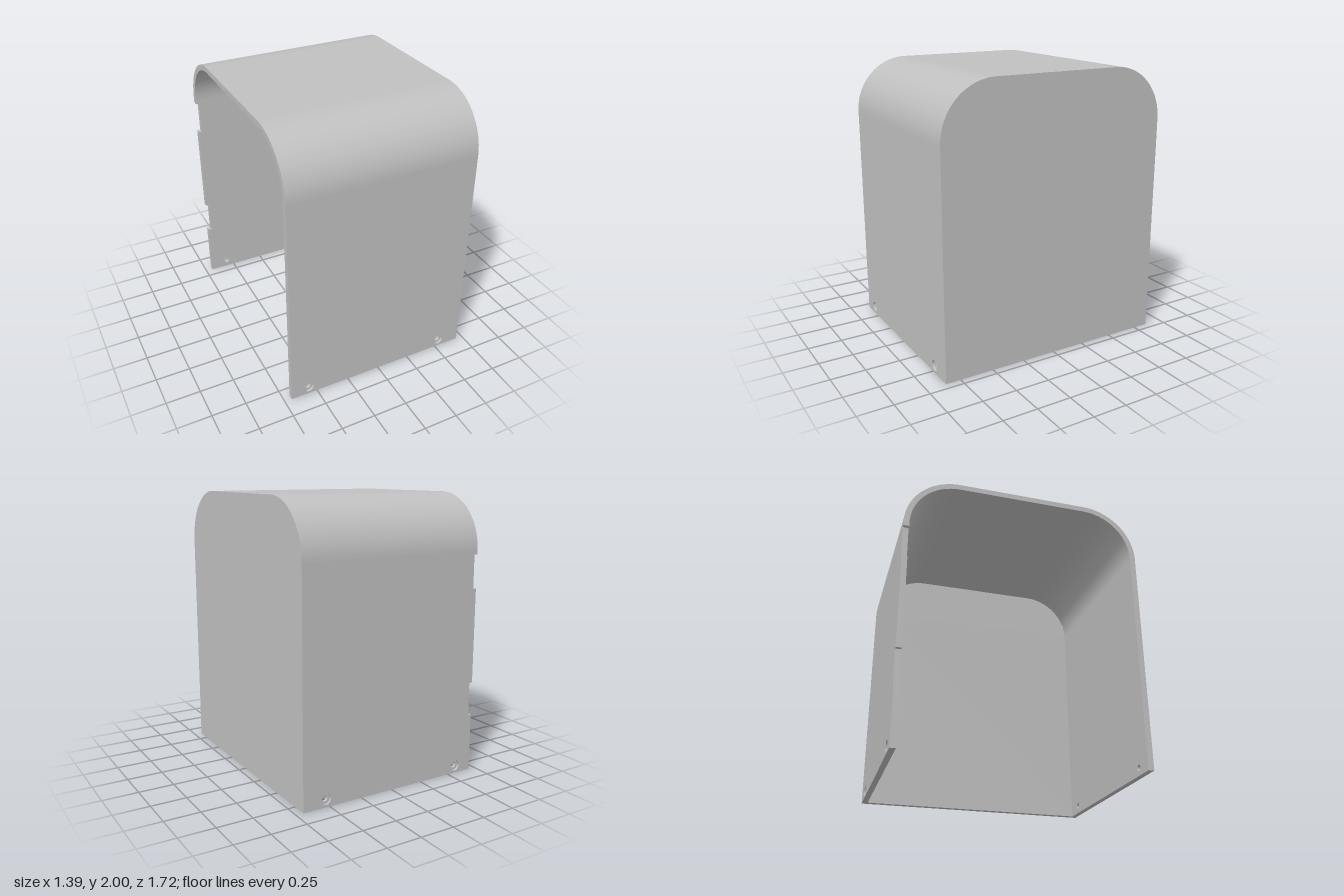
import * as THREE from 'three';

const W = 0.697, D = 0.86, H = 2, T = 0.04, R = 0.39; // half width, half depth, height, thickness, corner radius
const SPRING = H - R;                                 // height where the walls start to curve
const HOLE_X = [-0.563, 0.527], HOLE_Y = 0.055, HOLE_R = 0.022, BORE_R = 0.038, BORE_DEPTH = 0.018;
const NOTCHES = [[0.42, 0.66], [1.34, 1.58]], NOTCH_DEPTH = 0.025;

// Ribbon of quads joining two point lists of equal length
function strip(a, b, smooth = false) {
  const pos = [], idx = [];
  a.forEach((p, i) => pos.push(...p, ...b[i]));
  for (let i = 0; i < a.length - 1; i++) {
    const k = i * 2;
    idx.push(k, k + 1, k + 2, k + 2, k + 1, k + 3);
  }
  let g = new THREE.BufferGeometry();
  g.setAttribute('position', new THREE.Float32BufferAttribute(pos, 3));
  g.setIndex(idx);
  if (!smooth) g = g.toNonIndexed();
  g.computeVertexNormals();
  return g;
}

// Arch cross-section as [z, y], from the front wall over the top to the back wall
function archProfile(inset) {
  const pts = [], r = R - inset, n = 24;
  for (const [c, start] of [[D - R, 0], [R - D, Math.PI / 2]]) {
    for (let i = 0; i <= n; i++) {
      const t = start + (i / n) * Math.PI / 2;
      pts.push([c + r * Math.cos(t), SPRING + r * Math.sin(t)]);
    }
  }
  return pts;
}

export function createModel() {
  const model = new THREE.Group();
  const grey = new THREE.MeshStandardMaterial({ color: 0xc0c0c0, side: THREE.DoubleSide });
  grey.name = 'light grey';
  const add = (parent, name, geometry) => {
    const mesh = new THREE.Mesh(geometry, grey);
    mesh.name = name;
    parent.add(mesh);
  };
  const group = (name) => {
    const g = new THREE.Group();
    g.name = name;
    model.add(g);
    return g;
  };

  // Rounded roof: outer skin, inner skin and the rim at the open end
  const roof = group('roof');
  const outer = archProfile(0), inner = archProfile(T);
  const at = (profile, x) => profile.map(([z, y]) => [x, y, z]);
  add(roof, 'roofOuterSkin', strip(at(outer, -W), at(outer, W), true));
  add(roof, 'roofInnerSkin', strip(at(inner, W - T), at(inner, -W), true));
  add(roof, 'roofRim', strip(at(outer, -W), at(inner, -W)));

  // Closed end plate
  const plate = group('endPlate');
  const plateFace = (profile, x) => {
    const d = profile[0][0];
    const shape = new THREE.Shape([[-d, 0], [d, 0], ...profile].map(([z, y]) => new THREE.Vector2(z, y)));
    return new THREE.ShapeGeometry(shape).rotateY(Math.PI / 2).translate(x, 0, 0);
  };
  add(plate, 'endPlateOutside', plateFace(outer, W));
  add(plate, 'endPlateInside', plateFace(inner, W - T));
  const d = D - T;
  add(plate, 'endPlateBottom', strip([[W - T, 0, -d], [W - T, 0, d]], [[W, 0, -d], [W, 0, d]]));

  // Front and back walls; only the back one has notches in its free edge
  for (const s of [1, -1]) {
    const side = s > 0 ? 'front' : 'back';
    const wall = group(side + 'Wall');
    const edge = [[-W, 0]];
    if (s < 0) {
      for (const [y0, y1] of NOTCHES) {
        const x = -W + NOTCH_DEPTH;
        edge.push([-W, y0], [x, y0], [x, y1], [-W, y1]);
      }
    }
    edge.push([-W, SPRING]);

    const face = (xMax, radius, z) => {
      const outline = [[xMax, SPRING], [xMax, 0], ...edge];
      const shape = new THREE.Shape(outline.map(([x, y]) => new THREE.Vector2(x, y)));
      for (const hx of HOLE_X) {
        shape.holes.push(new THREE.Path().absarc(hx, HOLE_Y, radius, 0, Math.PI * 2, false));
      }
      const g = new THREE.ShapeGeometry(shape, 24);
      if (s < 0) g.rotateY(Math.PI).scale(-1, 1, 1);
      return g.translate(0, 0, s * z);
    };
    add(wall, side + 'WallOutside', face(W, BORE_R, D));
    add(wall, side + 'WallInside', face(W - T, HOLE_R, D - T));
    const rim = [[W, 0], ...edge];
    add(wall, side + 'WallEdge', strip(
      rim.map(([x, y]) => [x, y, s * D]), rim.map(([x, y]) => [x, y, s * (D - T)])));

    // Counterbored screw holes: narrow bore, flat seat, wide bore
    const steps = [[HOLE_R, D - T], [HOLE_R, D - BORE_DEPTH], [BORE_R, D - BORE_DEPTH], [BORE_R, D]]
      .map(([r, z]) => new THREE.Vector2(r, z));
    for (const hx of HOLE_X) {
      for (let i = 0; i < 3; i++) {
        const g = new THREE.LatheGeometry([steps[i], steps[i + 1]], 24);
        add(wall, side + 'ScrewHole', g.rotateX(s * Math.PI / 2).translate(hx, HOLE_Y, 0));
      }
    }
  }
  return model;
}
